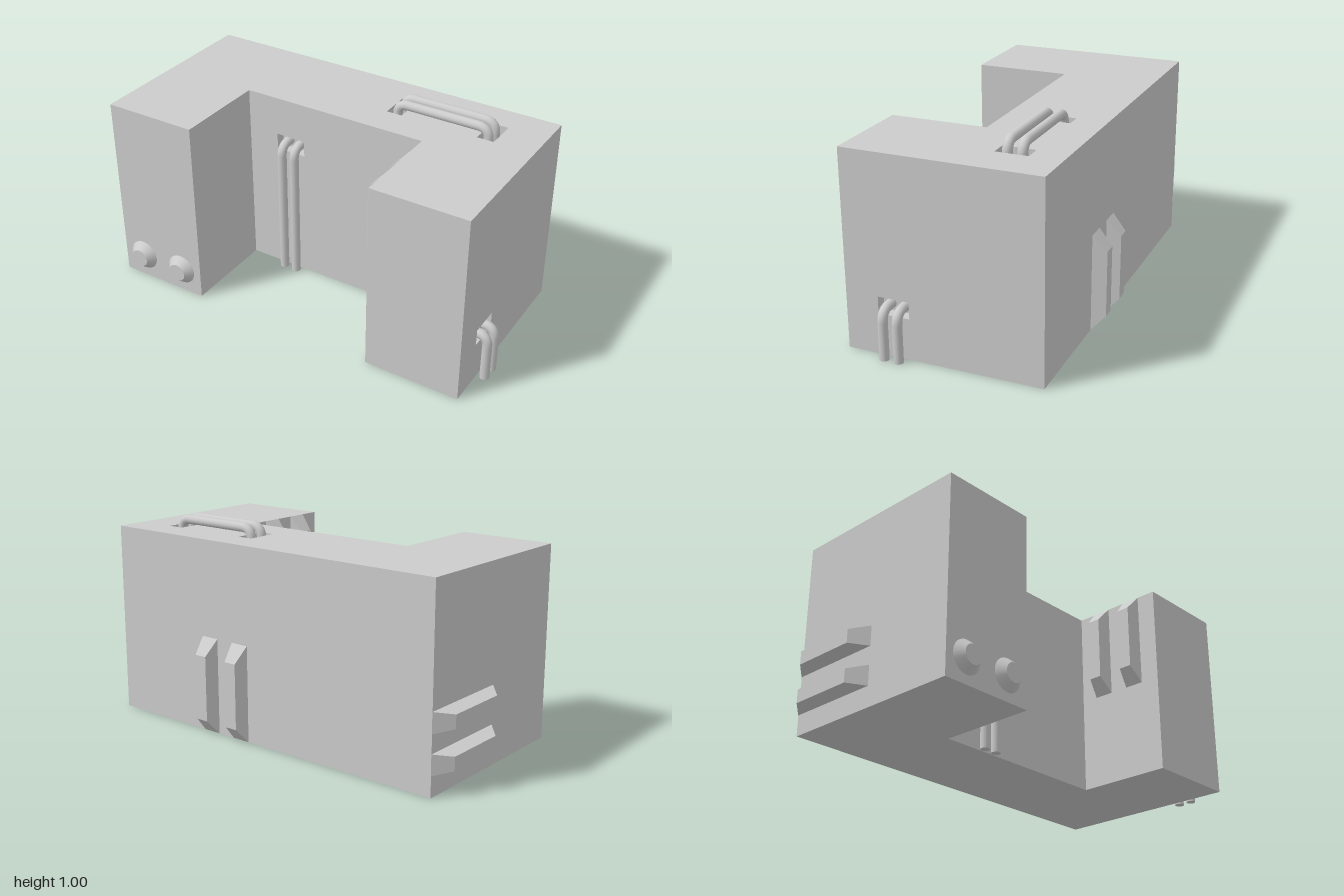
import * as THREE from 'three';

const material = new THREE.MeshStandardMaterial({ color: 0xcccccc });
const insideMaterial = new THREE.MeshStandardMaterial({ color: 0xcccccc, side: THREE.BackSide });

const HEIGHT = 0.938, FRONT = 0.482, BACK = -0.449, NOTCH = 0.0165;
const RECESS = 0.05, PIPE = 0.0225;

function mesh(name, geometry, mat = material) {
  const m = new THREE.Mesh(geometry, mat);
  m.name = name;
  return m;
}

// Flat panel facing +z, with rectangular recesses [x0, y0, x1, y1] sunk into it
function panel(name, points, recesses = []) {
  const shape = new THREE.Shape(points.map(([x, y]) => new THREE.Vector2(x, y)));
  const group = new THREE.Group();
  group.name = name;
  for (const [x0, y0, x1, y1] of recesses) {
    shape.holes.push(new THREE.Path([[x0, y0], [x1, y0], [x1, y1], [x0, y1]].map(([x, y]) => new THREE.Vector2(x, y))));
    const box = new THREE.BoxGeometry(x1 - x0, y1 - y0, RECESS);
    const index = Array.from(box.index.array);
    index.splice(24, 6); // open the outer side
    box.setIndex(index);
    box.clearGroups();
    box.translate((x0 + x1) / 2, (y0 + y1) / 2, -RECESS / 2);
    group.add(mesh('recess', box, insideMaterial));
  }
  group.add(mesh(name + 'Surface', new THREE.ShapeGeometry(shape)));
  return group;
}

// Pipe through the given points, with rounded corners
function pipe(name, coords) {
  const pts = coords.map((c) => new THREE.Vector3(...c));
  const path = new THREE.CurvePath();
  let from = pts[0];
  for (let i = 1; i < pts.length - 1; i++) {
    const toward = (p) => p.clone().sub(pts[i]).setLength(0.055).add(pts[i]);
    const a = toward(pts[i - 1]), b = toward(pts[i + 1]);
    path.add(new THREE.LineCurve3(from, a));
    path.add(new THREE.QuadraticBezierCurve3(a, pts[i], b));
    from = b;
  }
  path.add(new THREE.LineCurve3(from, pts[pts.length - 1]));
  return mesh(name, new THREE.TubeGeometry(path, 100, PIPE, 16));
}

// Tapered bar: length along y, standing out along +z
function fin(name, position, rotation) {
  const depth = 0.067;
  const g = new THREE.BoxGeometry(0.096, 0.469, depth);
  g.translate(0, 0, depth / 2);
  const p = g.attributes.position;
  for (let i = 0; i < p.count; i++) {
    if (p.getZ(i) > depth / 2) p.setXY(i, p.getX(i) * 0.67, p.getY(i) * 0.68);
  }
  g.computeVertexNormals();
  const m = mesh(name, g);
  m.position.set(...position);
  m.rotation.set(...rotation);
  return m;
}

export function createModel() {
  const model = new THREE.Group();
  model.name = 'blockModule';

  // U-shaped body: footprint corners (x, z), walls raised along each edge
  const footprint = [
    [-0.936, FRONT], [-0.469, FRONT], [-0.469, NOTCH], [0.47, NOTCH],
    [0.47, FRONT], [0.94, FRONT], [0.94, BACK], [-0.936, BACK],
  ];
  const wallRecesses = { 2: [[0.159, 0.665, 0.312, 0.745]], 5: [[0.157, 0.197, 0.307, 0.277]] };
  const body = new THREE.Group();
  body.name = 'body';
  footprint.forEach(([x, z], i) => {
    const [x2, z2] = footprint[(i + 1) % footprint.length];
    const length = Math.hypot(x2 - x, z2 - z);
    const wall = panel('wall', [[0, 0], [length, 0], [length, HEIGHT], [0, HEIGHT]], wallRecesses[i]);
    wall.position.set(x, 0, z);
    wall.rotation.y = Math.atan2(z - z2, x2 - x);
    body.add(wall);
  });
  const roof = panel('roof', footprint.map(([x, z]) => [x, -z]),
    [[0.2, 0.145, 0.277, 0.298], [0.663, 0.145, 0.745, 0.298]]);
  roof.position.y = HEIGHT;
  roof.rotation.x = -Math.PI / 2;
  const base = panel('base', footprint);
  base.rotation.x = Math.PI / 2;
  body.add(roof, base);
  model.add(body);

  // Paired pipes: over the roof, down the notch wall, down the left side
  const top = HEIGHT - RECESS, rail = HEIGHT + 0.037;
  for (const z of [-0.253, -0.184]) {
    model.add(pipe('roofPipe', [[0.238, top, z], [0.238, rail, z], [0.702, rail, z], [0.702, top, z]]));
  }
  const ends = [];
  for (const x of [-0.268, -0.198]) {
    const z = NOTCH + 0.027;
    model.add(pipe('notchPipe', [[x, 0.703, NOTCH - RECESS], [x, 0.703, z], [x, 0, z]]));
    ends.push([x, z]);
  }
  for (const z of [0.215, 0.285]) {
    const x = 0.977;
    model.add(pipe('sidePipe', [[0.94 - RECESS, 0.234, z], [x, 0.234, z], [x, 0, z]]));
    ends.push([x, z]);
  }
  for (const [x, z] of ends) {
    const cap = mesh('pipeEnd', new THREE.CircleGeometry(PIPE, 16));
    cap.position.set(x, 0, z);
    cap.rotation.x = Math.PI / 2;
    model.add(cap);
  }

  // Round tapered knobs on the front
  for (const x of [-0.82, -0.585]) {
    const knob = mesh('knob', new THREE.CylinderGeometry(0.045, 0.077, 0.038, 32));
    knob.rotation.x = Math.PI / 2;
    knob.position.set(x, 0.12, FRONT + 0.019);
    model.add(knob);
  }

  // Paired tapered fins on the back, right side and inside the notch
  const q = Math.PI / 2;
  for (const x of [0.144, 0.334]) model.add(fin('backFin', [x, 0.2345, BACK], [0, Math.PI, 0]));
  for (const y of [0.147, 0.331]) model.add(fin('sideFin', [-0.936, y, -0.216], [0, -q, q]));
  for (const z of [0.15, 0.338]) model.add(fin('notchFin', [0.47, HEIGHT - 0.2345, z], [0, -q, 0]));

  return model;
}
